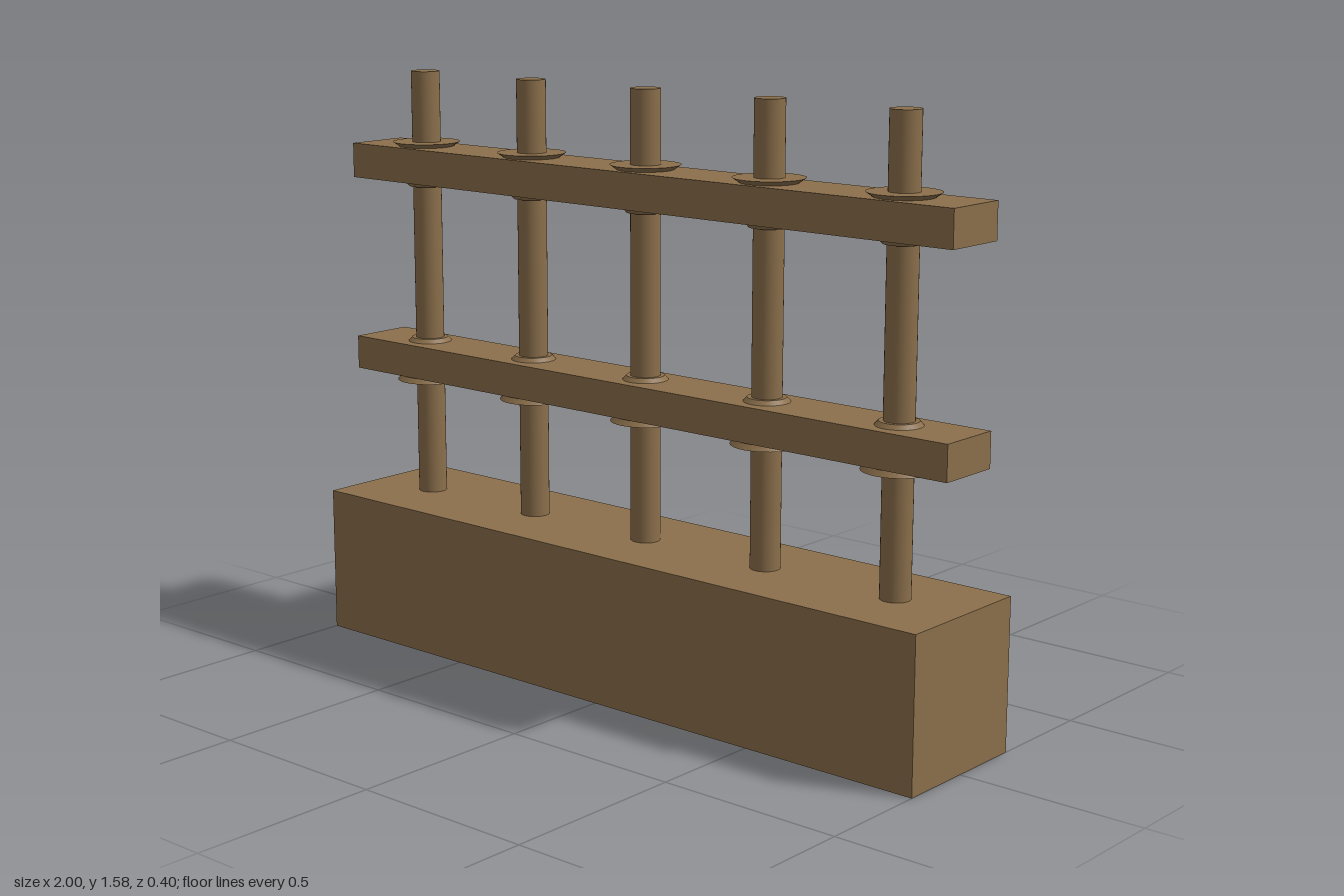
import * as THREE from 'three';

const wood = new THREE.MeshStandardMaterial({ color: 0x8b6f4b });
wood.name = 'brown wood';

function part(name, geometry, x, y, z = 0) {
  const mesh = new THREE.Mesh(geometry, wood);
  mesh.name = name;
  mesh.position.set(x, y, z);
  return mesh;
}

// Cylinder or cone frustum spanning y0..y1
function drum(name, rTop, rBottom, y0, y1) {
  return part(name, new THREE.CylinderGeometry(rTop, rBottom, y1 - y0, 32), 0, (y0 + y1) / 2);
}

function box(name, w, d, y0, y1) {
  return part(name, new THREE.BoxGeometry(w, y1 - y0, d), 0, (y0 + y1) / 2);
}

export function createModel() {
  const model = new THREE.Group();
  model.name = 'railing';

  // Solid plinth
  model.add(box('base', 2, 0.4, 0, 0.4));

  // Five identical bays, each a post with its rail sections and collars
  for (let i = -2; i <= 2; i++) {
    const bay = new THREE.Group();
    bay.name = 'bay' + (i + 3);
    bay.position.x = i * 0.4;
    bay.add(
      drum('post', 0.039, 0.039, 0.4, 1.58),
      box('upperRail', 0.4, 0.18, 1.28, 1.375),
      box('lowerRail', 0.4, 0.18, 0.738, 0.83),
      // Wide collars face outward, narrow ones inward
      drum('upperWideCollar', 0.092, 0.075, 1.375, 1.387),
      drum('upperNarrowCollar', 0.062, 0.05, 1.265, 1.28),
      drum('lowerNarrowCollar', 0.05, 0.06, 0.83, 0.841),
      drum('lowerWideCollar', 0.078, 0.092, 0.721, 0.738)
    );
    model.add(bay);
  }
  return model;
}
